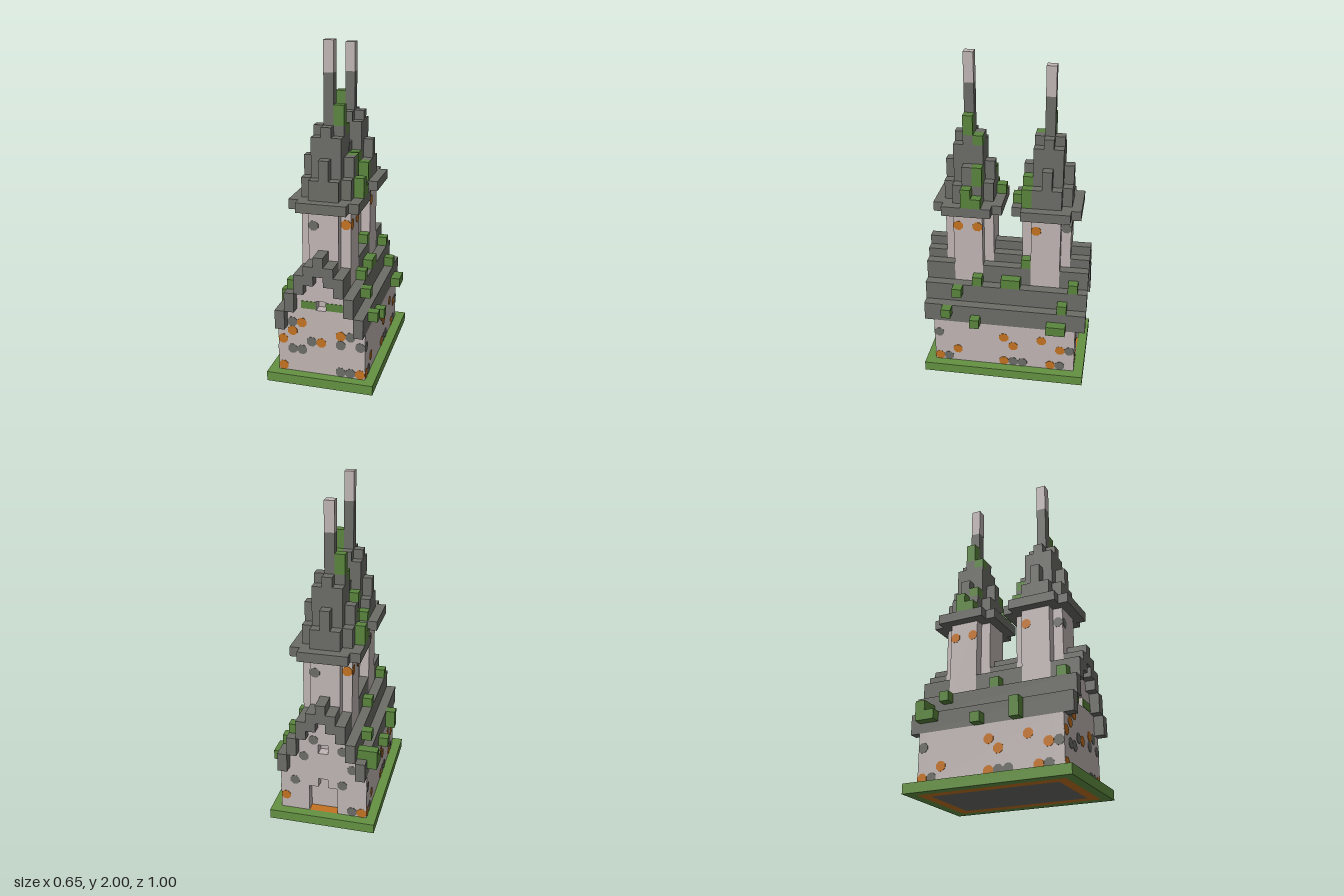
import * as THREE from 'three';

const U = 2 / 34; // one block
const mat = (name, color) => new THREE.MeshStandardMaterial({ name, color });

export function createModel() {
  const stone = mat('pale stone', 0xc0b6b4);
  const slate = mat('grey slate', 0x6c6d67);
  const orange = mat('orange brick', 0xc47322);
  const grass = mat('grass', 0x659243);
  const moss = mat('moss', 0x5a853d);

  const model = new THREE.Group();
  model.name = 'twinTowerChurch';
  const group = (name) => {
    const g = new THREE.Group();
    g.name = name;
    model.add(g);
    return g;
  };

  // Box covering block columns x0..x1 and z0..z1, from level y0 up to y1
  const block = (parent, name, m, x0, x1, y0, y1, z0, z1) => {
    const geo = new THREE.BoxGeometry((x1 - x0 + 1) * U, (y1 - y0) * U, (z1 - z0 + 1) * U);
    const mesh = new THREE.Mesh(geo, m);
    mesh.name = name;
    mesh.position.set((x0 + x1) / 2 * U, (y0 + y1) / 2 * U, (z0 + z1) / 2 * U);
    parent.add(mesh);
  };
  const frame = (parent, name, m, hx, hz) => {
    for (const s of [-1, 1]) {
      block(parent, name, m, s * hx, s * hx, 0, 1, -hz, hz);
      block(parent, name, m, 1 - hx, hx - 1, 0, 1, s * hz, s * hz);
    }
  };

  // Ground: lawn border, brick footing and floor
  const ground = group('ground');
  frame(ground, 'lawn', grass, 5, 8);
  frame(ground, 'footing', orange, 4, 7);
  block(ground, 'floor', slate, -3, 3, 0, 1, -6, 6);

  // Nave walls: stepped core between two gable ends
  const nave = group('nave');
  for (const [hx, y0, y1] of [[4, 1, 6], [3, 6, 8], [2, 8, 10], [1, 10, 11], [0, 11, 12]])
    block(nave, 'naveCore', stone, -hx, hx, y0, y1, -6, 6);

  const gable = (name, z, door) => {
    const half = [[4.5, 1], [4.5, 6], [3.5, 6], [3.5, 8], [2.5, 8], [2.5, 10], [1.5, 10], [1.5, 11], [0.5, 11], [0.5, 12]];
    const arch = [[0.5, 5], [0.5, 4], [1.5, 4], [1.5, 1]];
    const right = door ? [...arch, ...half] : half;
    const left = right.map(([x, y]) => [-x, y]).reverse();
    const outline = [...right, ...left].map(([x, y]) => new THREE.Vector2(x * U, y * U));
    const shape = new THREE.Shape(outline);
    const hole = [[-0.5, 8], [-0.5, 9], [0.5, 9], [0.5, 8]].map(([x, y]) => new THREE.Vector2(x * U, y * U));
    shape.holes.push(new THREE.Path(hole));
    const mesh = new THREE.Mesh(new THREE.ExtrudeGeometry(shape, { depth: U, bevelEnabled: false }), stone);
    mesh.name = name;
    mesh.position.z = (z - 0.5) * U;
    nave.add(mesh);
  };
  gable('frontGable', 7, false);
  gable('backGable', -7, true);

  // Roof: one block thick, interrupted where the towers rise
  const roof = group('roof');
  const courses = [
    [4, 6, 8, [[-8, 8]]],
    [3, 8, 10, [[-8, 8]]],
    [2, 10, 12, [[-8, -6], [-2, 2], [6, 8]]],
    [1, 11, 13, [[-8, -7], [-1, 1], [7, 8]]],
    [0, 12, 14, [[-8, -7], [-1, 1], [7, 8]]],
  ];
  for (const [x, y0, y1, runs] of courses)
    for (const [z0, z1] of runs)
      for (const s of x ? [-1, 1] : [1]) block(roof, 'roofCourse', slate, s * x, s * x, y0, y1, z0, z1);

  // Towers: notched shaft, eave, ragged cap and pale tipped spire
  const capHeight = (a, b) => {
    const hi = Math.max(a, b), lo = Math.min(a, b);
    if (hi === 2) return [23, 21, 0][lo];
    return lo ? 25 : 26;
  };
  const tower = (name, cz, spireTop) => {
    const t = group(name);
    block(t, 'shaft', stone, -2, 2, 10, 18, cz - 1, cz + 1);
    for (const s of [-1, 1]) {
      const z = cz + s * 2;
      block(t, 'shaftSide', stone, -1, 1, 10, 18, z, z);
      block(t, 'eaveEnd', slate, -2, 2, 18, 19, cz + s * 3, cz + s * 3);
    }
    block(t, 'eave', slate, -3, 3, 18, 19, cz - 2, cz + 2);
    for (let dx = -2; dx <= 2; dx++)
      for (let dz = -2; dz <= 2; dz++) {
        const h = capHeight(Math.abs(dx), Math.abs(dz));
        if ((dx || dz) && h) block(t, 'capColumn', slate, dx, dx, 19, h, cz + dz, cz + dz);
      }
    block(t, 'spire', slate, 0, 0, 19, spireTop - 3, cz, cz);
    block(t, 'spireTip', stone, 0, 0, spireTop - 3, spireTop, cz, cz);
  };
  tower('frontTower', 4, 34);
  tower('backTower', -4, 33);

  // Moss clumps: x, z, bottom, top
  const clumps = group('mossClumps');
  [
    [3, -7, 10, 11], [3, -1, 10, 11], [3, 0, 10, 11], [3, 3, 10, 11], [-3, 0, 10, 11], [-3, 7, 10, 11],
    [4, -6, 8, 9], [4, 5, 9, 10], [-4, -7, 8, 9], [-4, -5, 9, 10],
    [5, -6, 6, 7], [5, -5, 6, 7], [5, 3, 6, 7], [5, 6, 7, 8],
    [-5, -7, 7, 9], [-5, -6, 7, 8], [-5, -1, 6, 7], [-5, 3, 6, 8],
    [2, -2, 12, 13],
  ].forEach(([x, z, y0, y1]) => block(clumps, 'roofMoss', moss, x, x, y0, y1, z, z));
  [
    [-3, -4, 19, 21], [-1, -4, 26, 28], [-3, -3, 19, 20], [-2, -3, 21, 22], [-1, -3, 25, 26],
    [1, -2, 21, 22], [2, -2, 19, 21], [1, -1, 19, 20],
    [-1, 1, 19, 20], [-2, 2, 19, 20], [-1, 2, 21, 22], [1, 3, 25, 26], [2, 3, 21, 23],
    [3, 3, 19, 20], [1, 4, 26, 28], [3, 4, 19, 21],
  ].forEach(([x, z, y0, y1]) => block(clumps, 'towerMoss', moss, x, x, y0, y1, z, z));

  // Weathered stones: thin octagonal plates on the walls
  const stones = group('weatheredStones');
  const disc = new THREE.CylinderGeometry(0.53 * U, 0.53 * U, 0.005, 8);
  disc.rotateY(Math.PI / 8);
  disc.rotateX(Math.PI / 2);
  const spot = (m, x, y, z, turn) => {
    const mesh = new THREE.Mesh(disc, m);
    mesh.name = 'weatheredStone';
    mesh.position.set(x * U, y * U, z * U);
    mesh.rotation.y = turn;
    stones.add(mesh);
  };
  const quarter = Math.PI / 2;

  const frontOrange = [[-4, 4.5], [-3, 5.5], [-2, 6.5], [0, 4.5], [2, 5.5], [-4, 1.5], [4, 1.5]];
  const frontGrey = [[-3, 6.5], [-1, 4.5], [3, 5.5], [2, 4.5], [4, 4.5], [-3, 3.5], [-2, 3.5], [2, 1.5], [3, 1.5]];
  const backOrange = [[-4, 1.5], [4, 2.5]];
  const backGrey = [[1, 9.5], [-2, 8.5], [2, 7.5], [-3, 6.5], [3, 4.5], [-3, 1.5], [-2, 4.5]];
  frontOrange.forEach(([x, y]) => spot(orange, x, y, 7.5, 0));
  frontGrey.forEach(([x, y]) => spot(slate, x, y, 7.5, 0));
  backOrange.forEach(([x, y]) => spot(orange, x, y, -7.5, 0));
  backGrey.forEach(([x, y]) => spot(slate, x, y, -7.5, 0));

  const sideOrange = [[5, 2.5], [7, 1.5], [0, 4.5], [-1, 3.5], [0, 1.5], [-4, 4.5], [-6, 3.5], [-5, 1.5]];
  const sideGrey = [[7, 4.5], [6, 1.5], [-1, 1.5], [-2, 1.5], [-7, 3.5], [-6, 1.5]];
  for (const s of [-1, 1]) {
    sideOrange.forEach(([z, y]) => spot(orange, s * 4.5, y, s * z, quarter));
    sideGrey.forEach(([z, y]) => spot(slate, s * 4.5, y, s * z, quarter));
    // Stones near the tower tops
    for (const z of [5, 3, -3]) spot(orange, s * 2.5, 16.5, s * z, quarter);
    spot(slate, s * 1.5, 16.5, s * -6, quarter);
    spot(slate, -s, 16.5, s * 6.5, 0);
    spot(orange, s * 2, 16.5, s * 5.5, 0);
  }

  // Moss strips beside the front window
  for (const [x, w] of [[1.5, 2], [-1.3, 1.5]]) {
    const strip = new THREE.Mesh(new THREE.BoxGeometry(w * U, 0.8 * U, 0.006), moss);
    strip.name = 'windowMoss';
    strip.position.set(x * U, 8.5 * U, 7.5 * U);
    stones.add(strip);
  }
  return model;
}
